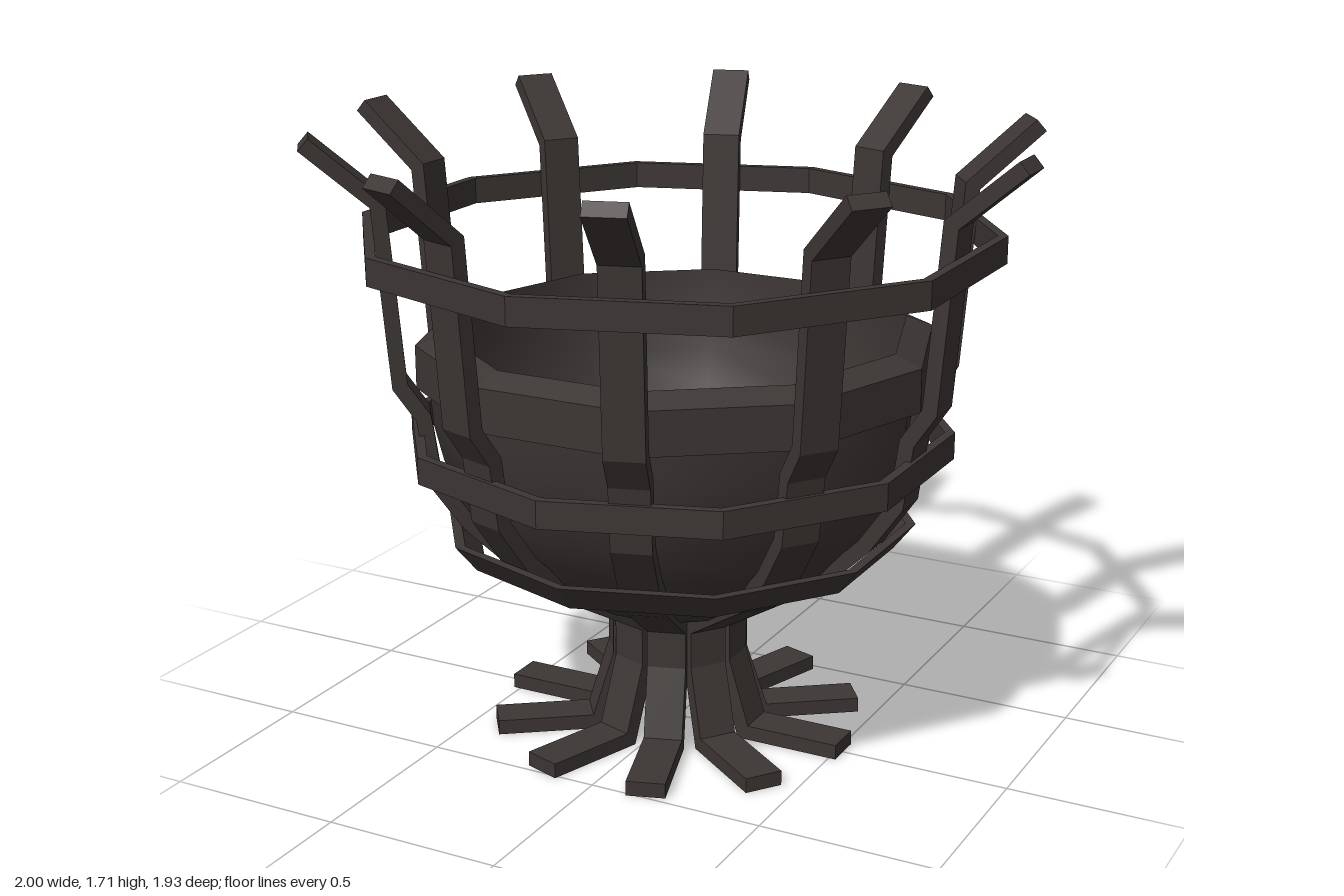
import * as THREE from 'three';

const SIDES = 10;
const iron = new THREE.MeshStandardMaterial({ color: 0x3c3634 });
iron.name = 'darkIron';

const vec = (pts) => pts.map(([x, y]) => new THREE.Vector2(x, y));

// Faceted ten-sided lathe
function faceted(pts, phiStart) {
  const g = new THREE.LatheGeometry(vec(pts), SIDES, phiStart).toNonIndexed();
  g.computeVertexNormals();
  return g;
}

function add(parent, geometry, name) {
  const mesh = new THREE.Mesh(geometry, iron);
  mesh.name = name;
  parent.add(mesh);
  return mesh;
}

// Flat strip following a path of [radius, height], mitred at each bend
function barGeometry(path, thickness, width) {
  const p = vec(path);
  const left = [], right = [];
  p.forEach((c, i) => {
    const a = p[Math.max(i - 1, 0)], b = p[Math.min(i + 1, p.length - 1)];
    const d0 = (i > 0 ? c.clone().sub(a) : b.clone().sub(c)).normalize();
    const d1 = (i < p.length - 1 ? b.clone().sub(c) : c.clone().sub(a)).normalize();
    const t = d0.clone().add(d1).normalize();
    const n = new THREE.Vector2(-t.y, t.x);
    n.multiplyScalar(thickness / 2 / Math.max(0.5, t.dot(d0)));
    left.push(c.clone().add(n));
    right.push(c.clone().sub(n));
  });
  const shape = new THREE.Shape([...right, ...left.reverse()]);
  const g = new THREE.ExtrudeGeometry(shape, { depth: width, bevelEnabled: false });
  return g.translate(0, 0, -width / 2);
}

// Quarter-ellipse profile, from the bottom centre up to the rim
function bowlProfile(radius, top, bottom, steps = 10) {
  return Array.from({ length: steps + 1 }, (_, i) => {
    const a = (i / steps) * Math.PI / 2;
    return [radius * Math.sin(a), top - (top - bottom) * Math.cos(a)];
  });
}

export function createModel() {
  const model = new THREE.Group();
  model.name = 'fireBasket';

  // Bowl: smooth shell and hollow, with a faceted rim
  const bowl = new THREE.Group();
  bowl.name = 'bowl';
  model.add(bowl);
  const turn = Math.PI / 2;
  add(bowl, new THREE.LatheGeometry(vec(bowlProfile(0.68, 1.02, 0.34)), SIDES, turn), 'bowlOutside');
  add(bowl, new THREE.LatheGeometry(vec(bowlProfile(0.64, 1.17, 0.42).reverse()), SIDES, turn), 'bowlInside');
  add(bowl, faceted([[0.66, 1.02], [0.715, 1.02], [0.715, 1.14], [0.64, 1.17]], turn), 'bowlRim');

  // Ten bent bars forming feet, neck, basket and flared tips
  const bar = barGeometry([
    [0.52, 0.022], [0.235, 0.022], [0.17, 0.23], [0.17, 0.35], [0.46, 0.52], [0.585, 0.64],
    [0.675, 0.77], [0.70, 0.95], [0.76, 1.04], [0.80, 1.54], [0.985, 1.70],
  ], 0.042, 0.108);
  const bars = new THREE.Group();
  bars.name = 'bars';
  model.add(bars);
  for (let i = 0; i < SIDES; i++) {
    add(bars, bar, 'bar').rotation.y = (i / SIDES) * Math.PI * 2;
  }

  // Hoops: [name, bottom y, top y, bottom outer radius, top outer radius]
  const hoops = [
    ['lowerHoop', 0.555, 0.63, 0.605, 0.665],
    ['middleHoop', 0.825, 0.90, 0.763, 0.763],
    ['upperHoop', 1.375, 1.45, 0.882, 0.882],
  ];
  for (const [name, y0, y1, r0, r1] of hoops) {
    const t = 0.028;
    add(model, faceted([[r0 - t, y0], [r0, y0], [r1, y1], [r1 - t, y1], [r0 - t, y0]], 0), name);
  }
  return model;
}
